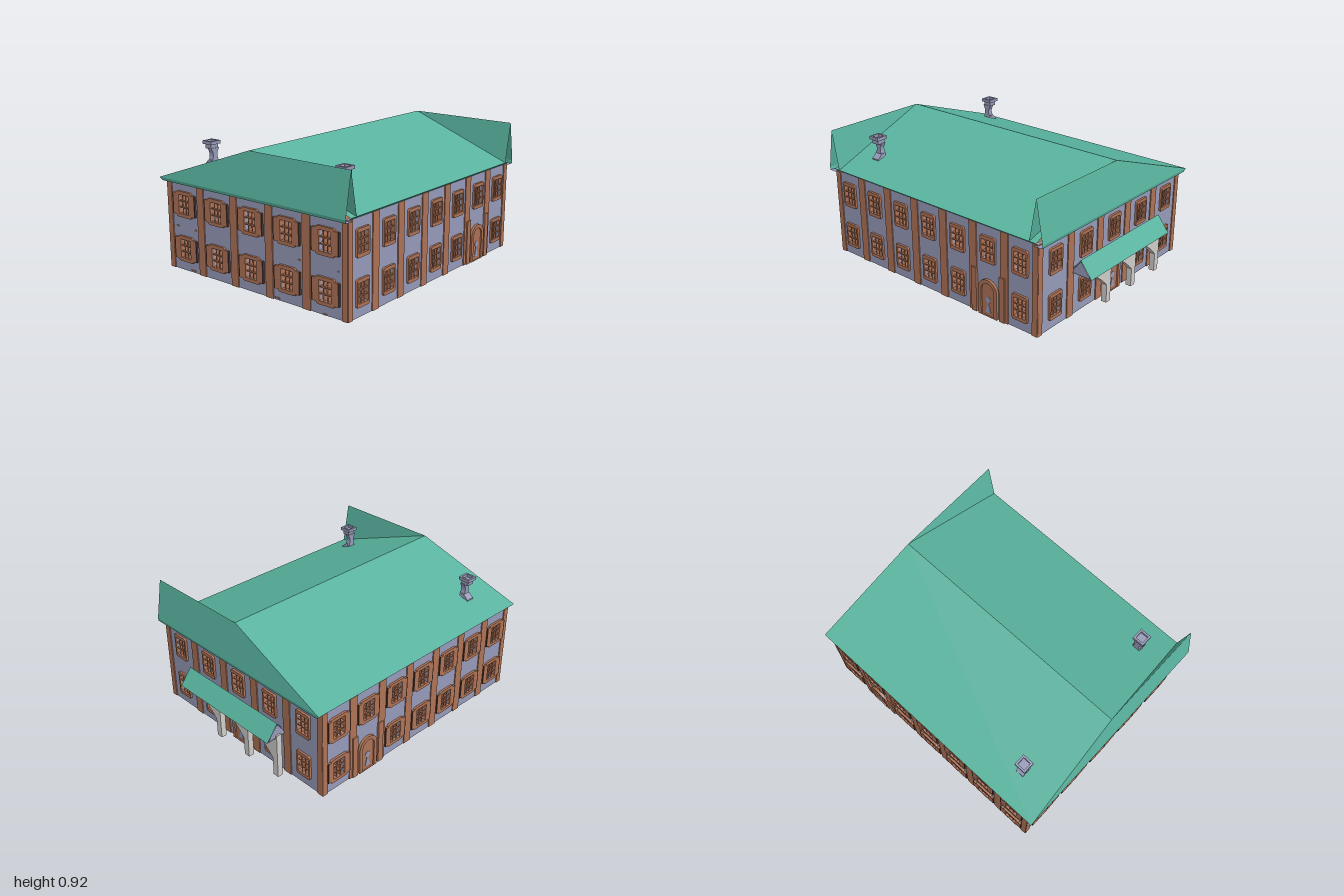
import * as THREE from 'three';

const mat = (name, color, side = THREE.FrontSide) => {
  const m = new THREE.MeshStandardMaterial({ color, side });
  m.name = name;
  return m;
};

export function createModel() {
  const wallMat = mat('lavender plaster', 0x979bb9, THREE.DoubleSide);
  const brown = mat('brown timber', 0xae7256);
  const dark = mat('dark brown wood', 0x4a3228);
  const green = mat('green roof', 0x59b49f, THREE.DoubleSide);
  const stone = mat('grey stone', 0xd0cecb);
  const taupe = mat('taupe interior', 0x8a7c70);

  const model = new THREE.Group();
  model.name = 'house';

  const add = (parent, name, geo, material, x = 0, y = 0, z = 0) => {
    const m = new THREE.Mesh(geo, material);
    m.name = name;
    m.position.set(x, y, z);
    parent.add(m);
    return m;
  };
  const box = (parent, name, material, w, h, d, x, y, z) =>
    add(parent, name, new THREE.BoxGeometry(w, h, d), material, x, y, z);
  const extrude = (shape, depth) =>
    new THREE.ExtrudeGeometry(shape, { depth, bevelEnabled: false, curveSegments: 10 });
  const polygon = (pts) => new THREE.Shape(pts.map(([x, y]) => new THREE.Vector2(x, y)));
  // Flat convex polygon from corner points
  const face = (name, material, ...pts) => {
    const tri = [];
    for (let i = 1; i < pts.length - 1; i++) tri.push(...pts[0], ...pts[i], ...pts[i + 1]);
    const g = new THREE.BufferGeometry();
    g.setAttribute('position', new THREE.Float32BufferAttribute(tri, 3));
    g.computeVertexNormals();
    return add(model, name, g, material);
  };

  // Outlines
  const rect = (C, x0, y0, x1, y1) => {
    const s = new C();
    s.moveTo(x0, y0); s.lineTo(x1, y0); s.lineTo(x1, y1); s.lineTo(x0, y1); s.closePath();
    return s;
  };
  const rounded = (w, h, r) => {
    const s = new THREE.Shape(), a = w / 2, b = h / 2;
    s.moveTo(-a + r, -b); s.lineTo(a - r, -b); s.quadraticCurveTo(a, -b, a, -b + r);
    s.lineTo(a, b - r); s.quadraticCurveTo(a, b, a - r, b);
    s.lineTo(-a + r, b); s.quadraticCurveTo(-a, b, -a, b - r);
    s.lineTo(-a, -b + r); s.quadraticCurveTo(-a, -b, -a + r, -b);
    return s;
  };
  const arch = (C, x, y0, r, spring) => {
    const s = new C();
    s.moveTo(x - r, y0); s.lineTo(x + r, y0); s.lineTo(x + r, spring);
    s.absarc(x, spring, r, 0, Math.PI, false);
    s.lineTo(x - r, y0);
    return s;
  };

  // Window: frame, deep glazing bars and optional shutters with dark outer edges
  const OW = 0.094, OH = 0.13;
  const window_ = (parent, u, y, shutterReach) => {
    const g = new THREE.Group();
    g.name = 'window';
    g.position.set(u, y, 0);
    parent.add(g);
    const outline = rounded(shutterReach ? 0.14 : 0.12, 0.178, 0.015);
    outline.holes.push(rect(THREE.Path, -OW / 2, -OH / 2, OW / 2, OH / 2));
    add(g, 'windowFrame', extrude(outline, 0.037), brown, 0, 0, -0.022);
    for (const k of [-1, 1]) {
      box(g, 'uprightBar', brown, 0.007, OH, 0.028, k * OW / 6, 0, -0.007);
      box(g, 'crossBar', brown, OW, 0.007, 0.028, 0, k * OH / 6, -0.007);
      if (!shutterReach) continue;
      const w = shutterReach - 0.063;
      box(g, 'shutter', brown, w, 0.15, 0.015, k * (0.055 + w / 2), 0, 0.0075);
      box(g, 'shutterEdge', dark, 0.008, 0.144, 0.015, k * (shutterReach - 0.004), 0, 0.0075);
    }
  };

  // Arched door with flanking piers
  const door = (parent, u, piers) => {
    const ring = arch(THREE.Shape, 0, 0, 0.078, 0.18);
    ring.holes.push(arch(THREE.Path, 0, 0.002, 0.052, 0.18));
    add(parent, 'doorFrame', extrude(ring, 0.018), brown, u, 0, 0);
    add(parent, 'doorLeaf', extrude(arch(THREE.Shape, 0, 0.002, 0.052, 0.18), 0.008), brown, u, 0, 0);
    const pane = new THREE.Shape();
    pane.moveTo(-0.022, 0.025); pane.lineTo(0.022, 0.025); pane.lineTo(0.005, 0.085);
    pane.absarc(0, 0.115, 0.02, -1.1, Math.PI + 1.1, false);
    pane.lineTo(-0.005, 0.085);
    pane.closePath();
    add(parent, 'doorPane', extrude(pane, 0.003), wallMat, u, 0, 0.008);
    if (piers) for (const k of [-1, 1])
      box(parent, 'doorPier', brown, 0.042, 0.31, 0.024, u + k * 0.115, 0.155, 0.004);
  };

  // Wall in its own frame: outside at z = 0, facing +z
  const LOW = 0.155, HIGH = 0.465, TOP = 0.62, T = 0.02;
  const wall = (name, length, bays, step, doorBay, shutterReach, piers) => {
    const g = new THREE.Group();
    g.name = name;
    model.add(g);
    const s = rect(THREE.Shape, -length / 2, 0, length / 2, TOP);
    const half = (bays - 1) / 2;
    for (let i = -half; i <= half; i++) {
      for (const y of [LOW, HIGH]) {
        const u = i * step;
        if (y === LOW && i === doorBay) { door(g, u, piers); continue; }
        s.holes.push(rect(THREE.Path, u - OW / 2, y - OH / 2, u + OW / 2, y + OH / 2));
        window_(g, u, y, shutterReach);
      }
      if (i < half) box(g, 'pilaster', brown, 0.062, TOP, 0.012, (i + 0.5) * step, TOP / 2, 0.001);
    }
    for (const k of [-1, 1])
      box(g, 'cornerPilaster', brown, 0.042, TOP, 0.012, k * (length / 2 - 0.016), TOP / 2, 0.001);
    add(g, 'wallPanel', extrude(s, T), wallMat, 0, 0, -T);
    return g;
  };
  const front = wall('frontWall', 1.54, 5, 0.305, null, 0.106, false);
  front.position.set(0, 0, 0.95);
  const back = wall('backWall', 1.54, 5, 0.305, 0, 0, false);
  back.position.set(0, 0, -0.85);
  back.rotation.y = Math.PI;
  const left = wall('leftWall', 1.8, 7, 0.257, 2, 0, true);
  left.position.set(0.772, 0, 0.05);
  left.rotation.y = Math.PI / 2;
  const right = wall('rightWall', 1.8, 7, 0.257, -2, 0.095, true);
  right.position.set(-0.772, 0, 0.05);
  right.rotation.y = -Math.PI / 2;
  // Small bare patches in the front plaster
  for (const [x, y, w] of [[-0.69, 0.305, 0.016], [-0.52, 0.302, 0.016], [0.4, 0.302, 0.016],
    [0.7, 0.298, 0.012], [-0.555, 0.013, 0.04], [0.215, 0.013, 0.04], [0.6, 0.006, 0.025]])
    box(front, 'barePatch', brown, w, 0.008, 0.006, x, y, 0.002);

  // Main roof slopes and eaves
  const R = 0.915, E = 0.635, X = 0.795;
  face('roofSlopeRight', green, [-X, E, 1], [0, R, 0.95], [0, R, -0.85], [-X, E, -0.9]);
  face('roofSlopeLeft', green, [X, E, 0.95], [X, E, -0.85], [0, R, -0.85], [0, R, 0.95]);
  face('eaveUndersideLeft', green, [X, E, 0.95], [0.772, 0.617, 0.95], [0.772, 0.617, -0.85], [X, E, -0.85]);
  face('eaveUndersideRight', green, [-X, E, 0.95], [-X, E, -0.85], [-0.772, 0.617, -0.85], [-0.772, 0.617, 0.95]);
  // Steep end roofs, their ridges running level to the +x side, gables set back under them
  for (const k of [1, -1]) {
    const z = (d) => 0.05 + k * d;
    const quad = (name, material, ...pts) => face(name, material, ...(k > 0 ? pts : pts.reverse()));
    const ridgeEnd = [X, R, z(0.9)], ridgeStart = [0, R, z(0.9)];
    quad('endRoof', green, [-X, E, z(0.95)], [X, E, z(0.95)], ridgeEnd, ridgeStart);
    quad('endRoofInner', green, ridgeStart, ridgeEnd, [X, E, z(0.85)]);
    quad('endGable', wallMat, [0.67, 0.62, z(0.948)], [0.67, 0.62, z(0.852)], [0.67, R - 0.005, z(0.9)]);
    quad('endFascia', green, [-0.772, 0.615, z(0.946)], [X, 0.615, z(0.946)], [X, E, z(0.95)], [-X, E, z(0.95)]);
    quad('endSoffit', wallMat, [-0.772, 0.615, z(0.885)], [X, 0.615, z(0.885)],
      [X, 0.615, z(0.946)], [-0.772, 0.615, z(0.946)]);
  }

  // Chimneys: pinched stack, sloping foot on the eave side, stepped hollow cap
  const stack = [[-0.04, 0.69], [0.04, 0.69], [0.018, 0.765], [0.018, 0.785], [0.034, 0.82],
    [-0.034, 0.82], [-0.018, 0.785], [-0.018, 0.765]];
  for (const k of [-1, 1]) {
    const g = new THREE.Group();
    g.name = 'chimney';
    g.position.set(k * 0.573, 0, 0.73);
    model.add(g);
    add(g, 'chimneyStack', extrude(polygon(stack), 0.036).rotateY(Math.PI / 2), wallMat, -0.018 - k * 0.015);
    const foot = polygon([[k * 0.038, 0.69], [k * 0.038, 0.708], [0, 0.742], [-k * 0.02, 0.742], [-k * 0.02, 0.69]]);
    add(g, 'chimneyFoot', extrude(foot, 0.06), wallMat, 0, 0, -0.03);
    box(g, 'chimneyNeck', wallMat, 0.056, 0.032, 0.06, 0, 0.831, 0);
    const rim = rect(THREE.Shape, -0.042, -0.042, 0.042, 0.042);
    rim.holes.push(rect(THREE.Path, -0.028, -0.028, 0.028, 0.028));
    add(g, 'chimneyCap', extrude(rim, 0.022).rotateX(-Math.PI / 2), wallMat, 0, 0.846, 0);
  }

  // Back porch: three stone posts, each with a curved bracket towards +x
  const P = 0.44;
  for (const x of [-0.425, -0.14, 0.145]) {
    const s = new THREE.Shape();
    s.moveTo(-0.022, 0); s.lineTo(0.022, 0); s.lineTo(0.022, 0.13);
    s.quadraticCurveTo(0.11, 0.23, 0.26, 0.305);
    s.lineTo(0.26, 0.322); s.lineTo(-0.022, 0.322);
    s.closePath();
    add(model, 'porchPost', extrude(s, 0.04), stone, x, 0, -0.93);
  }
  // Porch roof
  face('porchRoofOuter', green, [-P, 0.41, -0.915], [P, 0.41, -0.915], [P, 0.3, -1], [-P, 0.3, -1]);
  face('porchRoofInner', green, [-P, 0.41, -0.915], [-P, 0.335, -0.856], [P, 0.335, -0.856], [P, 0.41, -0.915]);
  face('porchSoffit', wallMat, [-P, 0.302, -0.99], [P, 0.302, -0.99], [P, 0.305, -0.856], [-P, 0.305, -0.856]);
  for (const x of [-P + 0.004, P - 0.004])
    face('porchGable', wallMat, [x, 0.4, -0.915], [x, 0.302, -0.99], [x, 0.302, -0.856], [x, 0.333, -0.863]);

  // Floor panels, with a loose tilted row beside the +x wall
  for (let i = -2; i <= 2; i++) for (let j = -3; j <= 3; j++) {
    const loose = i === 2;
    const p = box(model, 'floorPanel', brown, loose ? 0.15 : 0.296, 0.008, loose ? 0.15 : 0.248,
      i * 0.305 + (loose ? 0.02 : 0), loose ? 0.045 : 0.008, 0.05 + j * 0.257);
    if (loose) p.rotation.z = 0.45;
  }
  // Inside: slender columns and screens
  for (let j = -3; j <= 3; j++)
    add(model, 'innerColumn', new THREE.CylinderGeometry(0.015, 0.015, 0.23, 8), wallMat, 0.15, 0.125, 0.05 + j * 0.257);
  for (const i of [-1, 0, 1])
    box(model, 'innerScreen', i ? taupe : brown, 0.15, 0.23, 0.01, i * 0.61, 0.125, i ? -0.585 : -0.8);

  return model;
}
